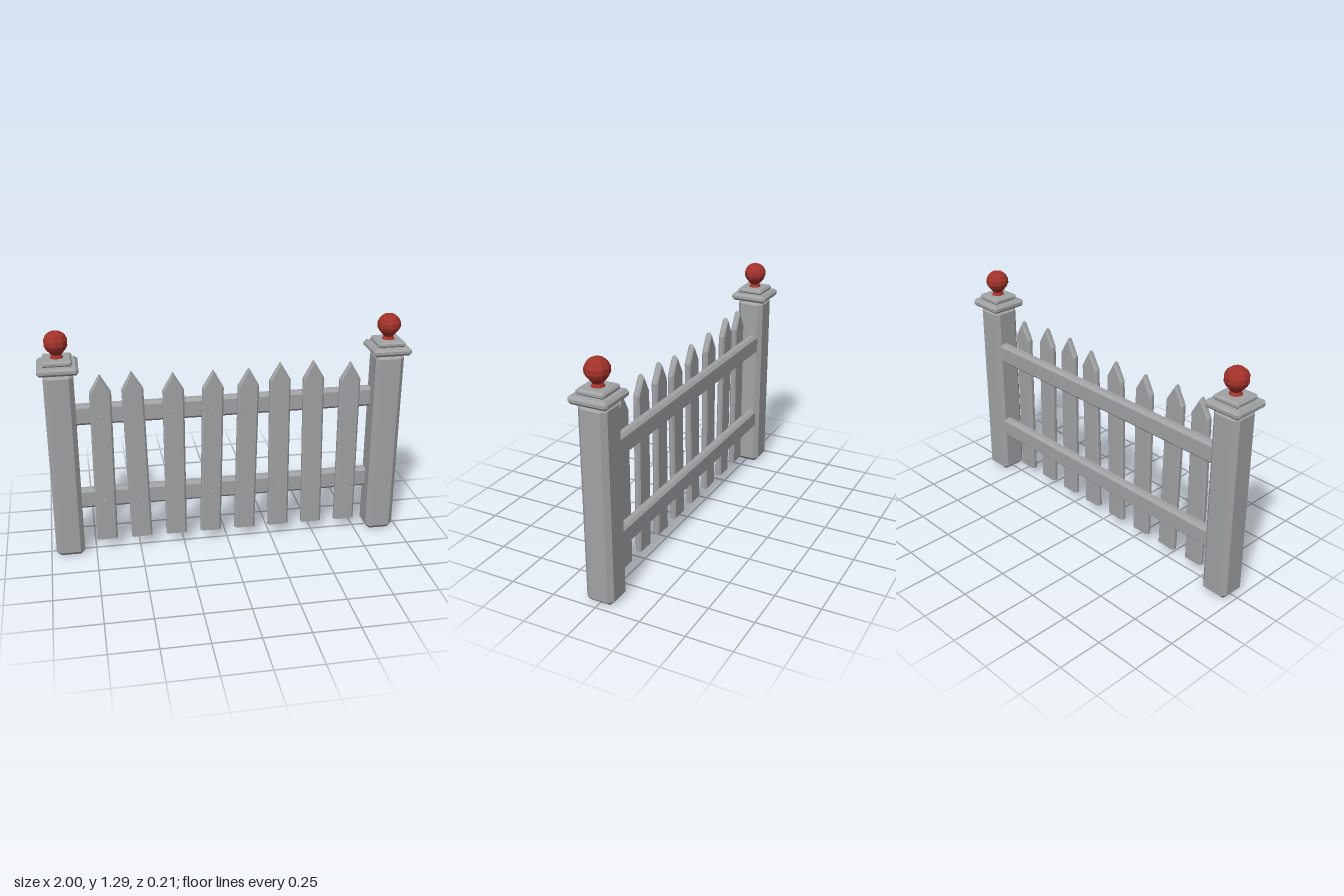
import * as THREE from 'three';
import { ConvexGeometry } from 'three/addons/geometries/ConvexGeometry.js';

const wood = new THREE.MeshStandardMaterial({ color: 0xa1a2a4 });
wood.name = 'greyWood';
const red = new THREE.MeshStandardMaterial({ color: 0xa2322a });
red.name = 'redFinial';

function part(name, geometry, material, parent, x = 0, y = 0, z = 0) {
  const mesh = new THREE.Mesh(geometry, material);
  mesh.name = name;
  mesh.position.set(x, y, z);
  parent.add(mesh);
  return mesh;
}

// Box with every edge chamfered by b, centred on the origin
function chamferBox(w, h, d, b) {
  const points = [];
  for (const sx of [-1, 1]) for (const sy of [-1, 1]) for (const sz of [-1, 1]) {
    for (let axis = 0; axis < 3; axis++) {
      points.push(new THREE.Vector3(
        sx * (w / 2 - (axis === 0 ? 0 : b)),
        sy * (h / 2 - (axis === 1 ? 0 : b)),
        sz * (d / 2 - (axis === 2 ? 0 : b))));
    }
  }
  return new ConvexGeometry(points);
}

// Flat-faced lathe for the ball and its flared neck
function finialGeometry() {
  const profile = [
    [0, 0], [0.036, 0], [0.025, 0.018], [0.031, 0.024], [0.053, 0.05],
    [0.063, 0.07], [0.063, 0.096], [0.05, 0.122], [0.03, 0.137], [0, 0.142],
  ].map(([r, y]) => new THREE.Vector2(r, y));
  const g = new THREE.LatheGeometry(profile, 10).toNonIndexed();
  g.computeVertexNormals();
  return g;
}

// Pointed board, bevelled front and back, cut flat at the foot
function picketGeometry(height) {
  const w = 0.058, shoulder = height - 0.1, b = 0.01;
  const shape = new THREE.Shape([
    [-w, 0], [w, 0], [w, shoulder], [0, height], [-w, shoulder],
  ].map(([x, y]) => new THREE.Vector2(x, y)));
  const g = new THREE.ExtrudeGeometry(shape, {
    depth: 0.016, bevelEnabled: true, bevelSegments: 1,
    bevelThickness: b, bevelSize: b, bevelOffset: -b,
  });
  const p = g.attributes.position;
  for (let i = 0; i < p.count; i++) if (p.getY(i) < 0.02) p.setY(i, 0);
  g.translate(0, 0, b - 0.002);
  g.computeVertexNormals();
  return g;
}

export function createModel() {
  const fence = new THREE.Group();
  fence.name = 'picketFence';

  // End posts with stepped caps and ball finials
  for (const side of [-1, 1]) {
    const post = new THREE.Group();
    post.name = side > 0 ? 'leftPost' : 'rightPost';
    post.position.x = side * 0.893;
    fence.add(post);
    part('postShaft', chamferBox(0.158, 1.076, 0.158, 0.025), wood, post, 0, 0.538);
    part('lowerCap', chamferBox(0.214, 0.043, 0.214, 0.014), wood, post, 0, 1.096);
    part('upperCap', chamferBox(0.154, 0.032, 0.154, 0.01), wood, post, 0, 1.131);
    part('finial', finialGeometry(), red, post, 0, 1.145);
  }

  // Two rails behind the pickets
  for (const [name, y] of [['lowerRail', 0.307], ['upperRail', 0.807]]) {
    part(name, chamferBox(1.66, 0.115, 0.057, 0.015), wood, fence, 0, y, -0.032);
  }

  // Slightly leaning pickets: [sideways shift of tip, height of tip]
  const foot = 0.066;
  const pickets = [
    [0.005, 1.045], [-0.024, 1.053], [0, 1.032], [0.021, 1.032],
    [0.019, 1.032], [-0.005, 1.053], [-0.016, 1.053], [-0.003, 1.032],
  ];
  const nail = new THREE.CylinderGeometry(0.008, 0.011, 0.012, 8).toNonIndexed();
  nail.rotateX(Math.PI / 2);
  nail.computeVertexNormals();
  pickets.forEach(([lean, top], i) => {
    const picket = new THREE.Group();
    picket.name = 'picket' + (i + 1);
    picket.position.set((i - 3.5) * 0.196, foot, 0);
    picket.rotation.z = -Math.atan2(lean, top - foot);
    fence.add(picket);
    part('board', picketGeometry(top - foot), wood, picket);
    for (const y of [0.308, 0.808]) part('nail', nail, wood, picket, 0, y - foot, 0.036);
  });

  return fence;
}
